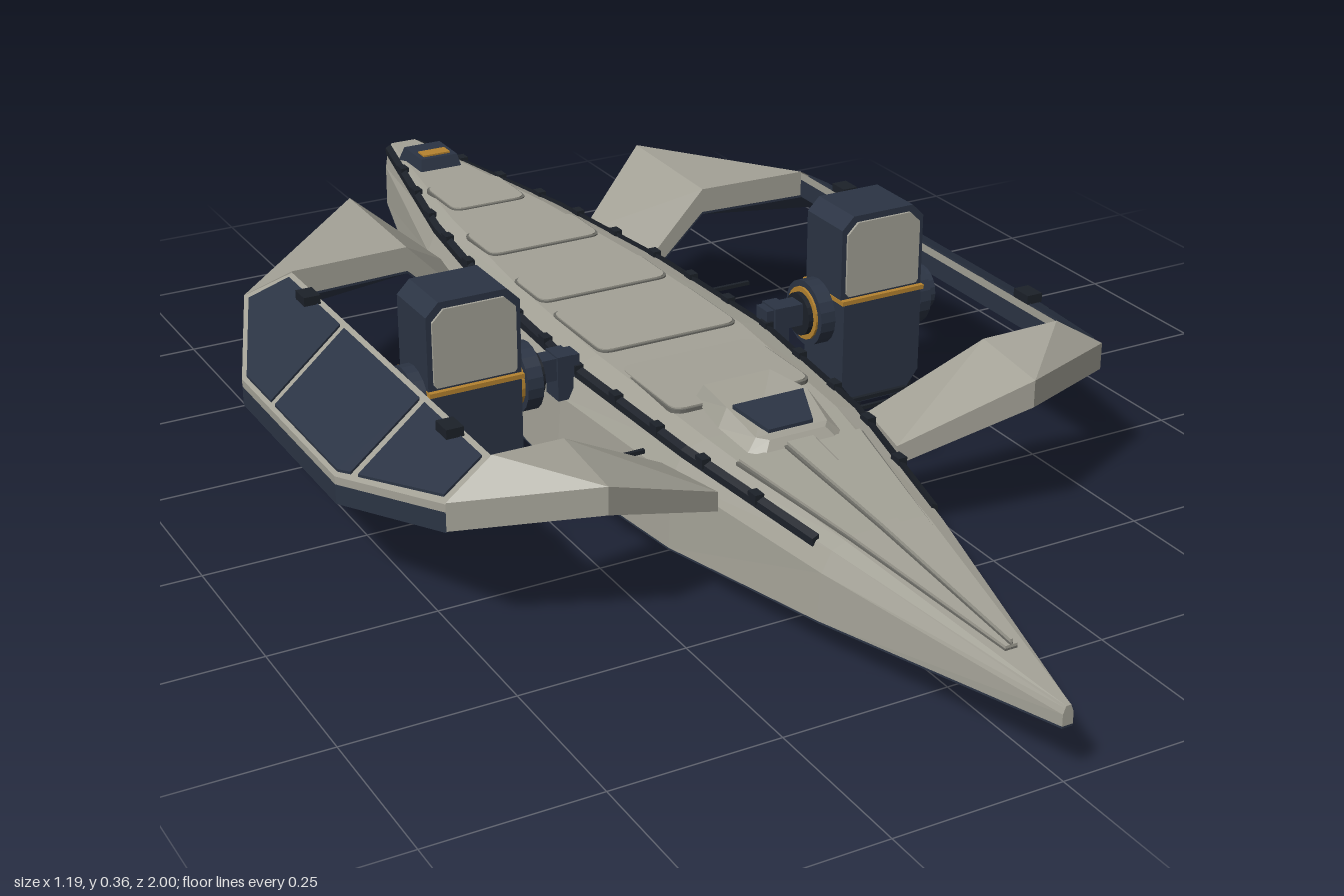
import * as THREE from 'three';

const mat = (name, color, side = THREE.FrontSide) => {
  const m = new THREE.MeshStandardMaterial({ color, flatShading: true, side });
  m.name = name;
  return m;
};

// Closed skin through rings of [x, y, z] points, always facing outward
function loft(rings) {
  const n = rings[0].length, tris = [];
  for (let r = 0; r < rings.length - 1; r++)
    for (let i = 0; i < n; i++) {
      const j = (i + 1) % n, a = rings[r], b = rings[r + 1];
      tris.push([a[i], a[j], b[j]], [a[i], b[j], b[i]]);
    }
  const first = rings[0], last = rings[rings.length - 1];
  for (let i = 1; i < n - 1; i++)
    tris.push([first[0], first[i + 1], first[i]], [last[0], last[i], last[i + 1]]);
  let volume = 0;
  for (const [a, b, c] of tris)
    volume += a[0] * (b[1] * c[2] - b[2] * c[1]) + a[1] * (b[2] * c[0] - b[0] * c[2]) + a[2] * (b[0] * c[1] - b[1] * c[0]);
  const ordered = volume < 0 ? tris.map(([a, b, c]) => [a, c, b]) : tris;
  const g = new THREE.BufferGeometry();
  g.setAttribute('position', new THREE.Float32BufferAttribute(ordered.flat(2), 3));
  g.computeVertexNormals();
  return g;
}
const lower = (pts, d) => pts.map(([x, y, z]) => [x, y - d, z]);
const prism = (pts, d) => loft([pts, lower(pts, d)]);

// Hull stations: z, bottom half-width, bottom y, side half-width, side y, deck half-width, edge y, deck y
const stations = [
  [1, 0.008, 0.083, 0.008, 0.1, 0.005, 0.108, 0.111],
  [0.6, 0.108, 0.055, 0.103, 0.125, 0.088, 0.155, 0.163],
  [0.3, 0.167, 0.037, 0.162, 0.147, 0.142, 0.183, 0.194],
  [0, 0.193, 0.03, 0.184, 0.152, 0.163, 0.195, 0.207],
  [-0.3, 0.179, 0.038, 0.172, 0.155, 0.15, 0.197, 0.209],
  [-0.6, 0.136, 0.058, 0.131, 0.16, 0.113, 0.199, 0.21],
  [-1, 0.037, 0.095, 0.036, 0.165, 0.03, 0.2, 0.208],
];
function hullAt(z, k) {
  for (let i = 0; i < stations.length - 1; i++) {
    const a = stations[i], b = stations[i + 1];
    if (z >= b[0]) return a[k] + (b[k] - a[k]) * (a[0] - z) / (a[0] - b[0]);
  }
  return stations[stations.length - 1][k];
}

export function createModel() {
  const grey = mat('hull grey', 0xa3a196), navy = mat('navy', 0x2b3444), dark = mat('dark trim', 0x1c2129);
  const seam = mat('seam grey', 0x6c6c66), gold = mat('gold', 0xb5832f), lens = mat('lens', 0x6f8790);
  const root = new THREE.Group();
  root.name = 'ship';
  const add = (name, geo, material, x = 0, y = 0, z = 0, parent = root) => {
    const m = new THREE.Mesh(geo, material);
    m.name = name;
    m.position.set(x, y, z);
    parent.add(m);
    return m;
  };
  const box = (name, w, h, d, material, x, y, z, parent) =>
    add(name, new THREE.BoxGeometry(w, h, d), material, x, y, z, parent);

  // Hull body, belly skin and stern plate
  add('hull', loft(stations.map(([z, wb, yb, ws, ys, wd, yd, yc]) => {
    const half = [[wb, yb, z], [ws, ys, z], [wd, yd, z], [wd * 0.75, yc, z]];
    return [...half, ...half.slice().reverse().map(([x, y]) => [-x, y, z])];
  })), grey);
  add('belly', loft(stations.map(([z, w, y]) => [[w, y, z], [-w, y, z], [-w, y - 0.003, z], [w, y - 0.003, z]])), navy);
  add('sternPlate', prism([[0.029, 0.2, -0.997], [-0.029, 0.2, -0.997], [-0.029, 0.2, -1.002], [0.029, 0.2, -1.002]], 0.104), navy);

  // Rounded deck plates, each over a slightly larger seam
  const roundPlate = (w, d, r, h) => {
    const s = new THREE.Shape();
    s.moveTo(-w + r, -d);
    s.lineTo(w - r, -d).quadraticCurveTo(w, -d, w, -d + r);
    s.lineTo(w, d - r).quadraticCurveTo(w, d, w - r, d);
    s.lineTo(-w + r, d).quadraticCurveTo(-w, d, -w, d - r);
    s.lineTo(-w, -d + r).quadraticCurveTo(-w, -d, -w + r, -d);
    return new THREE.ExtrudeGeometry(s, { depth: h, bevelEnabled: false, curveSegments: 4 }).rotateX(-Math.PI / 2);
  };
  for (const [z, w, d] of [[-0.69, 0.066, 0.06], [-0.47, 0.097, 0.052], [-0.26, 0.11, 0.052], [-0.082, 0.115, 0.083], [0.135, 0.112, 0.083]]) {
    const y = hullAt(z, 7);
    add('deckSeam', roundPlate(w + 0.003, d + 0.003, 0.02, 0.006), seam, 0, y - 0.004, z);
    add('deckPlate', roundPlate(w, d, 0.02, 0.008), grey, 0, y - 0.004, z);
  }

  // Raised nose plating with two seams
  const noseRings = (w, lift) => [0.88, 0.6, 0.375].map((z) => {
    const y = hullAt(z, 7), x = w * (0.93 - z) / 0.555;
    return [[x, y + lift, z], [-x, y + lift, z], [-x, y - 0.01, z], [x, y - 0.01, z]];
  });
  add('noseSeam', loft(noseRings(0.103, 0.003)), seam);
  add('nosePlate', loft(noseRings(0.098, 0.007)), grey);
  add('noseRidge', loft(noseRings(0.026, 0.01)), seam);
  add('noseRidgeCap', loft(noseRings(0.021, 0.015)), grey);

  // Cockpit hump with sloping window
  add('cockpit', loft([
    [[-0.075, 0.19, 0.36], [-0.058, 0.19, 0.38], [0.058, 0.19, 0.38], [0.075, 0.19, 0.36], [0.082, 0.2, 0.29], [0.064, 0.2, 0.19], [-0.064, 0.2, 0.19], [-0.082, 0.2, 0.29]],
    [[-0.058, 0.206, 0.352], [-0.045, 0.206, 0.368], [0.045, 0.206, 0.368], [0.058, 0.206, 0.352], [0.066, 0.226, 0.285], [0.055, 0.224, 0.2], [-0.055, 0.224, 0.2], [-0.066, 0.226, 0.285]],
  ]), grey);
  add('cockpitWindow', prism([[-0.058, 0.229, 0.287], [-0.036, 0.212, 0.35], [0.036, 0.212, 0.35], [0.058, 0.229, 0.287]], 0.006), navy);

  // Stern equipment box
  add('sternBox', loft([
    [[-0.04, 0.2, -0.93], [0.04, 0.2, -0.93], [0.04, 0.2, -0.83], [-0.04, 0.2, -0.83]],
    [[-0.034, 0.229, -0.915], [0.034, 0.229, -0.915], [0.034, 0.229, -0.84], [-0.034, 0.229, -0.84]],
  ]), navy);
  box('sternGoldPlate', 0.05, 0.006, 0.025, gold, 0, 0.229, -0.862);

  // Belly ring and lens
  const ringProfile = [[0.05, 0.03], [0.05, 0.008], [0.06, 0.002], [0.083, 0.004], [0.083, 0.012], [0.072, 0.016], [0.072, 0.036]];
  const bellyRing = mat('ring navy', 0x2b3444, THREE.DoubleSide);
  add('bellyRing', new THREE.LatheGeometry(ringProfile.map(([x, y]) => new THREE.Vector2(x, y)), 32), bellyRing, 0, 0, -0.09);
  add('bellyLens', new THREE.CylinderGeometry(0.052, 0.052, 0.02, 32), lens, 0, 0.022, -0.09);
  add('bellyLensRim', new THREE.TorusGeometry(0.078, 0.004, 6, 32).rotateX(Math.PI / 2), lens, 0, 0.007, -0.09);

  for (const s of [1, -1]) {
    const side = new THREE.Group();
    side.name = s > 0 ? 'leftSide' : 'rightSide';
    root.add(side);
    const m = (pts) => pts.map(([x, y, z]) => [x * s, y, z]);
    const solid = (name, rings, material) => add(name, loft(rings.map(m)), material, 0, 0, 0, side);

    // Dark rail along the deck edge with small clamps
    solid('deckRail', [0.57, 0.3, 0, -0.3, -0.6, -0.995].map((z) => {
      const x = hullAt(z, 5), y = hullAt(z, 6);
      return [[x - 0.004, y + 0.008, z], [x + 0.006, y + 0.003, z], [x + 0.006, y - 0.008, z], [x - 0.004, y - 0.006, z]];
    }), dark);
    for (let z = 0.45; z > -0.95; z -= 0.11)
      box('railClamp', 0.014, 0.014, 0.02, dark, s * hullAt(z, 5), hullAt(z, 6) + 0.004, z, side);

    // Thin side probes
    for (const z of [-0.235, 0.225]) box('probe', 0.11, 0.006, 0.006, dark, s * 0.22, 0.156, z, side);

    // Sloping outer wing with navy underside and panels
    const slope = (x, z, up = 0) => [x, 0.27 - 0.61 * (x - 0.455) + up, z];
    const wing = [[0.345, 0.53, 0.36], [0.14, 0.597, 0.14], [-0.22, 0.597, -0.22], [-0.37, 0.52, -0.41]];
    const wingRings = (top, bottom) => wing.map(([zi, xo, zo]) =>
      [slope(0.455, zi, top), slope(xo, zo, top), slope(xo, zo, bottom), slope(0.455, zi, bottom)]);
    solid('outerWing', wingRings(0, -0.012), grey);
    solid('outerWingUnderside', wingRings(-0.012, -0.042), navy);
    const panels = [
      [[0.464, 0.333], [0.525, 0.345], [0.578, 0.178], [0.464, 0.148]],
      [[0.464, 0.132], [0.582, 0.162], [0.591, 0.135], [0.591, -0.1], [0.464, -0.14]],
      [[0.464, -0.155], [0.591, -0.115], [0.591, -0.215], [0.52, -0.39], [0.464, -0.36]],
    ];
    for (const p of panels) {
      const top = p.map(([x, z]) => slope(x, z, 0.004));
      solid('wingPanel', [top, lower(top, 0.007)], navy);
    }
    for (const z of [-0.26, 0.25]) box('wingClip', 0.026, 0.014, 0.035, dark, s * 0.472, 0.274, z, side);

    // Struts joining wing and hull: each row is two edge points and a thickness
    const strut = (rows, drop = 0, extra = 0) => rows.map(([a, b, t]) =>
      extra ? [...lower([a, b], t), ...lower([b, a], t + extra)] : [a, b, ...lower([b, a], t)]);
    const front = [
      [[0.145, 0.165, 0.4], [0.17, 0.165, 0.285], 0.03],
      [[0.34, 0.245, 0.453], [0.34, 0.26, 0.325], 0.042],
      [[0.53, 0.226, 0.36], [0.455, 0.272, 0.345], 0.042],
    ];
    const rear = [
      [[0.13, 0.165, -0.545], [0.16, 0.165, -0.37], 0.03],
      [[0.265, 0.28, -0.6], [0.265, 0.275, -0.37], 0.04],
      [[0.52, 0.231, -0.41], [0.455, 0.272, -0.37], 0.042],
    ];
    solid('frontStrut', strut(front), grey);
    solid('rearStrut', strut(rear), grey);
    solid('rearStrutUnderside', strut(rear, 0, 0.004), navy);

    // Engine pod: chamfered upper and lower blocks
    const pod = new THREE.Group();
    pod.name = 'enginePod';
    pod.position.set(s * 0.343, 0, 0);
    side.add(pod);
    const block = (w, y0, y1, c0, c1, d) => {
      const shape = new THREE.Shape([[-w + c0, y0], [w - c0, y0], [w, y0 + c0 * 1.3], [w, y1 - c1], [w - c1, y1], [-w + c1, y1], [-w, y1 - c1], [-w, y0 + c0 * 1.3]]
        .map(([x, y]) => new THREE.Vector2(x, y)));
      return new THREE.ExtrudeGeometry(shape, { depth: d, bevelEnabled: false }).translate(0, 0, -d / 2);
    };
    add('podUpper', block(0.073, 0.222, 0.365, 0.004, 0.02, 0.1), navy, 0, 0, 0, pod);
    add('podLower', block(0.07, 0.055, 0.226, 0.026, 0.004, 0.112), navy, 0, 0, 0, pod);
    add('podFacePanel', block(0.065, 0.236, 0.355, 0.004, 0.018, 0.108), grey, 0, 0, 0, pod);
    box('podBand', 0.148, 0.007, 0.116, gold, 0, 0.228, 0, pod);

    // Landing prongs
    for (const x of [-0.06, -0.033, 0.033, 0.06])
      for (const z of [-0.045, 0.045]) box('prong', 0.007, 0.075, 0.007, dark, x, 0.057, z, pod);
    for (const z of [-0.045, 0.045]) box('prongBar', 0.125, 0.006, 0.006, dark, 0, 0.038, z, pod);

    // Round pivots and arm to the hull
    const disc = (name, r, w, material, x) =>
      add(name, new THREE.CylinderGeometry(r, r, w, 20).rotateZ(Math.PI / 2), material, s * x, 0.2, 0, side);
    disc('innerPivot', 0.052, 0.025, navy, 0.248);
    disc('innerPivotRing', 0.042, 0.034, gold, 0.249);
    disc('innerPivotCap', 0.034, 0.046, dark, 0.247);
    disc('outerPivot', 0.054, 0.02, navy, 0.425);
    disc('outerPivotRing', 0.044, 0.03, gold, 0.426);
    disc('outerPivotCap', 0.036, 0.046, navy, 0.432);
    box('pylonArm', 0.08, 0.035, 0.032, navy, s * 0.2, 0.205, 0, side);
    box('pylonMount', 0.025, 0.07, 0.04, navy, s * 0.185, 0.19, 0, side);
  }
  return root;
}
